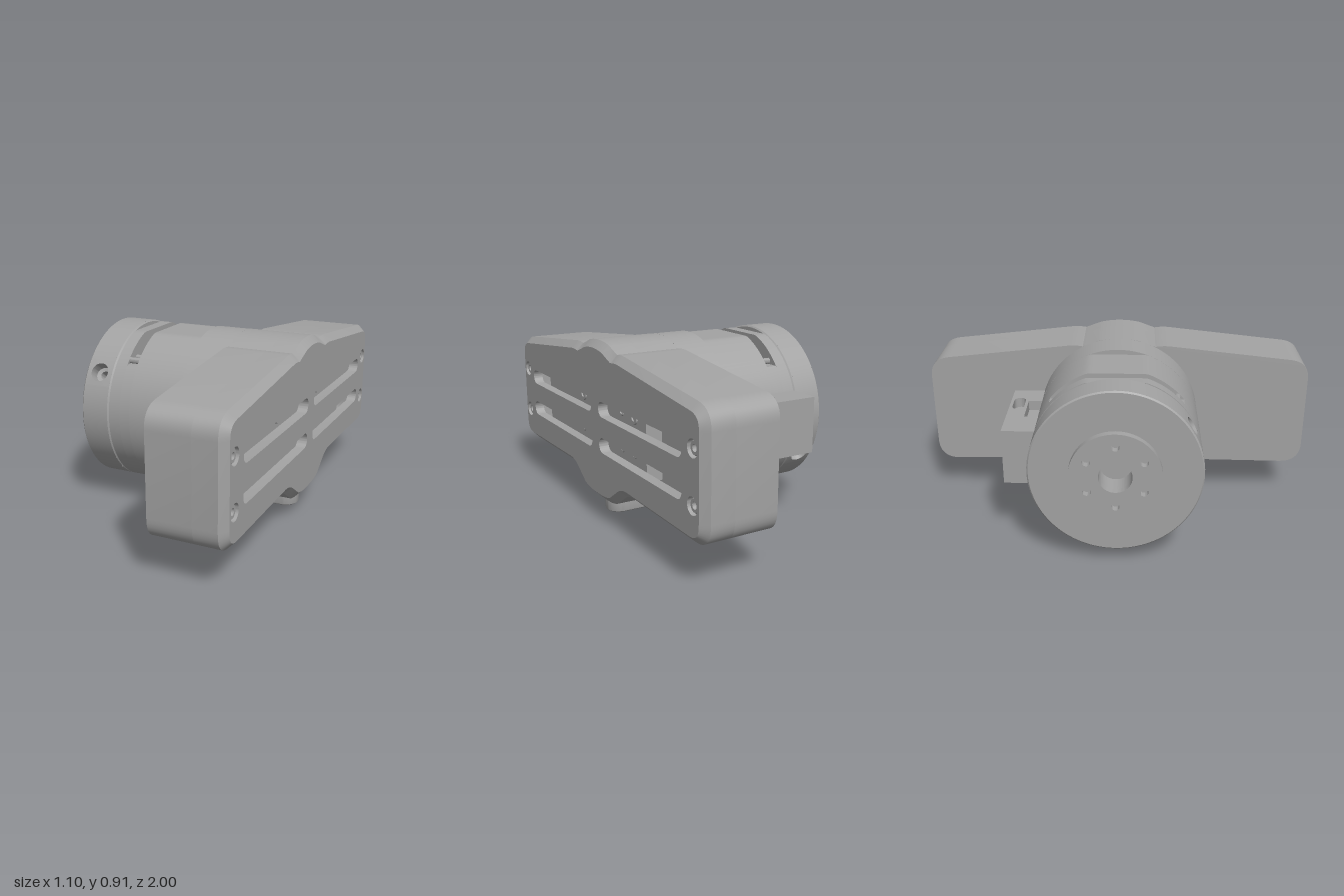
import * as THREE from 'three';
import { toCreasedNormals } from 'three/addons/utils/BufferGeometryUtils.js';

const AXIS = 0.49; // height of the drum axis
const R = 0.415;   // drum radius

// Working frame: u (x) points to the back, y up, w (z) along the drum axis.
export function createModel() {
  const metal = new THREE.MeshStandardMaterial({ color: 0xa3a3a3, side: THREE.DoubleSide });
  metal.name = 'grey metal';
  const model = new THREE.Group();
  model.name = 'gearHousing';
  model.rotation.y = Math.PI / 2;

  const add = (name, geo, x = 0, y = 0, z = 0) => {
    const mesh = new THREE.Mesh(toCreasedNormals(geo, 0.5), metal);
    mesh.name = name;
    mesh.position.set(x, y, z);
    model.add(mesh);
    return mesh;
  };
  const extrude = (shape, depth, opts = {}) =>
    new THREE.ExtrudeGeometry(shape, { depth, bevelEnabled: false, curveSegments: 16, ...opts });
  const box = (name, u0, u1, y0, y1, w0, w1) =>
    add(name, new THREE.BoxGeometry(u1 - u0, y1 - y0, w1 - w0), (u0 + u1) / 2, (y0 + y1) / 2, (w0 + w1) / 2);
  const circle = (x, y, r) => new THREE.Path().absarc(x, y, r, 0, Math.PI * 2);
  const stadium = (x0, x1, y, r, P = THREE.Path) =>
    new P().absarc(x1 - r, y, r, -Math.PI / 2, Math.PI / 2).absarc(x0 + r, y, r, Math.PI / 2, Math.PI * 1.5).closePath();
  const lathe = (pts, seg = 96) =>
    new THREE.LatheGeometry(pts.map(p => new THREE.Vector2(...p)), seg).rotateX(Math.PI / 2);

  // Skin between successive rows of points
  const loft = (rows) => {
    const n = rows[0].length, index = [];
    for (let i = 0; i < rows.length - 1; i++)
      for (let j = 0; j < n - 1; j++) {
        const a = i * n + j, b = a + n;
        index.push(a, a + 1, b, a + 1, b + 1, b);
      }
    const g = new THREE.BufferGeometry();
    g.setAttribute('position', new THREE.Float32BufferAttribute(rows.flat(2), 3));
    g.setIndex(index);
    g.computeVertexNormals();
    return g;
  };

  // Round slab, optionally cut flat at a given height
  const slab = (name, r, top, w0, w1) => {
    const pts = [];
    for (let i = 0; i < 120; i++) {
      const a = i * Math.PI / 60;
      pts.push(new THREE.Vector2(r * Math.cos(a), Math.min(AXIS + r * Math.sin(a), top)));
    }
    return add(name, extrude(new THREE.Shape(pts), w1 - w0), 0, 0, w0);
  };

  // Socket screw facing +w
  const screw = (name, u, y, w, r) => {
    const m = add(name, lathe([[r, -0.03], [r, -0.004], [r * 0.9, 0], [r * 0.5, 0], [r * 0.5, -0.025], [0, -0.025]], 24), u, y, w);
    return m;
  };

  // --- Drum: end disc with two radial screw holes
  add('discFront', lathe([[0, -0.42], [0.08, -0.42], [0.08, -0.515], [0.408, -0.515], [R, -0.508], [R, -0.505]]), 0, AXIS);
  add('discBack', lathe([[R, -0.37], [R, -0.367], [0.408, -0.36], [0, -0.36]]), 0, AXIS);
  const half = 0.0675, halfAngle = half / R, holes = [149, 329].map(THREE.MathUtils.degToRad);
  const onDrum = (a, r, w) => [r * Math.cos(a), r * Math.sin(a), w];
  for (const a of holes) {
    const arc = w => Array.from({ length: 61 }, (_, i) =>
      onDrum(a + halfAngle + (Math.PI - 2 * halfAngle) * i / 60, R, w));
    add('discBand', loft([arc(-0.505), arc(-0.37)]), 0, AXIS);
    const ring = (size, r, square) => Array.from({ length: 41 }, (_, i) => {
      const t = i * Math.PI / 20, c = Math.cos(t), s = Math.sin(t);
      const k = size / (square ? Math.max(Math.abs(c), Math.abs(s)) : 1);
      return onDrum(a + k * s / R, r, -0.4375 + k * c);
    });
    add('discScrewHole', loft([ring(half, R, true), ring(0.047, R), ring(0.047, 0.36),
      ring(0.026, 0.355), ring(0.026, 0.3), ring(0, 0.3)]), 0, AXIS);
  }

  // --- Output hub with centre bore and six bolt holes
  const hub = new THREE.Shape().absarc(0, 0, 0.22, 0, Math.PI * 2);
  hub.holes.push(circle(0, 0, 0.08));
  for (let i = 0; i < 6; i++) {
    const a = i * Math.PI / 3 + Math.PI / 6;
    hub.holes.push(circle(0.155 * Math.cos(a), 0.155 * Math.sin(a), 0.02));
  }
  add('hub', extrude(hub, 0.035, { curveSegments: 32 }), 0, AXIS, -0.55);

  // --- Drum body with flat top, notch and raised rib
  slab('neck', 0.385, 0.86, -0.362, -0.354);
  slab('ring', R, 0.88, -0.356, -0.295);
  slab('notchFloor', R, 0.75, -0.295, -0.24);
  slab('body', R, 0.88, -0.24, 0.19);
  slab('rib', R + 0.0005, 2, 0.02, 0.19);
  for (const u of [-0.29, -0.23, -0.15, 0.01, 0.26])
    add('notchPin', new THREE.CylinderGeometry(0.015, 0.015, 0.055, 16).rotateX(Math.PI / 2), u, 0.766, -0.2675);

  // --- Wide housing outline, mirrored about the middle
  const side = new THREE.Path().moveTo(0, 0.105);
  side.quadraticCurveTo(0.11, 0.103, 0.16, 0.125).lineTo(0.25, 0.185);
  side.quadraticCurveTo(0.285, 0.207, 0.33, 0.207).lineTo(0.89, 0.2);
  side.quadraticCurveTo(1, 0.2, 1, 0.31).lineTo(1, 0.69);
  side.quadraticCurveTo(1, 0.785, 0.9, 0.796).lineTo(0.26, 0.866);
  side.quadraticCurveTo(0.22, 0.868, 0.19, 0.862).lineTo(0.11, 0.892);
  side.quadraticCurveTo(0.06, 0.905, 0, 0.905);
  const right = side.getPoints(10);
  const outline = [...right, ...right.slice(1, -1).reverse().map(p => new THREE.Vector2(-p.x, p.y))];
  const inset = outline.map((p, i) => {
    const n = outline.length;
    const d1 = p.clone().sub(outline[(i + n - 1) % n]).normalize();
    const d2 = outline[(i + 1) % n].clone().sub(p).normalize();
    const d = d1.add(d2).normalize();
    return new THREE.Vector2(p.x - d.y * 0.035, p.y + d.x * 0.035);
  });
  const closed = (pts, w) => [...pts, pts[0]].map(p => [p.x, p.y, w]);

  add('housing', extrude(new THREE.Shape(outline), 0.21), 0, 0, 0.19);
  const rim = new THREE.Shape(outline);
  rim.holes.push(new THREE.Path(inset));
  add('housingRim', extrude(rim, 0.115), 0, 0, 0.4);
  add('housingChamfer', loft([closed(outline, 0.515), closed(inset, 0.55)]));

  // --- Slotted cover, inner plate and screws
  const cover = new THREE.Shape(inset);
  for (const y of [0.582, 0.402])
    cover.holes.push(stadium(0.04, 0.83, y, 0.038), stadium(-0.83, -0.04, y, 0.038));
  for (const u of [-0.915, 0.915])
    for (const y of [0.612, 0.372]) {
      cover.holes.push(circle(u, y, 0.04));
      screw('coverScrew', u, y, 0.54, 0.033);
    }
  add('cover', extrude(cover, 0.05), 0, 0, 0.5);
  box('innerPlate', -0.4, 0.4, 0.3, 0.7, 0.4, 0.48);
  for (const u of [-0.285, -0.16, 0.16, 0.285])
    for (const y of [0.582, 0.402])
      screw('plateScrew', u, y, 0.487, y > 0.5 && Math.abs(u) > 0.2 ? 0.035 : 0.02);

  // --- Connector box on the back, notched and slotted on top
  box('connectorBox', 0.3, 0.55, 0.35, 0.58, -0.36, 0.14);
  const lid = new THREE.Shape([[0.3, -0.14], [0.55, -0.14], [0.55, 0.36], [0.3, 0.36],
    [0.3, 0.19], [0.46, 0.19], [0.46, 0], [0.3, 0]].map(p => new THREE.Vector2(...p)));
  const slot = new THREE.Path().absarc(0.505, 0.07, 0.03, 0, Math.PI)
    .absarc(0.505, -0.01, 0.03, Math.PI, Math.PI * 2).closePath();
  lid.holes.push(slot);
  add('connectorLid', extrude(lid, 0.05).rotateX(-Math.PI / 2), 0, 0.58, 0);
  for (const w of [0.07, -0.1])
    screw('connectorScrew', 0.553, 0.39, w, 0.02).rotation.y = Math.PI / 2;

  // --- Split foot below the drum
  const foot = new THREE.Shape([[-0.28, 0], [-0.03, 0], [-0.03, 0.12], [-0.27, 0.12], [-0.27, 0.05]]
    .map(p => new THREE.Vector2(...p)));
  for (const s of [-1, 1]) {
    add('footBlock', extrude(foot, 0.1).rotateY(-Math.PI / 2), s * 0.1 + 0.05);
    box('footLip', s * 0.045 - 0.008, s * 0.045 + 0.008, 0, 0.022, -0.27, -0.03);
    screw('footScrew', s * 0.1, -0.0, -0.12, 0.02).rotation.x = Math.PI / 2;
  }
  box('footBridge', -0.15, 0.15, 0.055, 0.11, -0.29, -0.03);

  // --- Rounded bosses under the housing
  const boss = (name, w0, w1, r, y0, y1) =>
    add(name, extrude(stadium(w0, w1, 0, r, THREE.Shape), y1 - y0 - 0.02,
      { bevelEnabled: true, bevelSize: 0.012, bevelThickness: 0.012, bevelOffset: -0.012, bevelSegments: 3 })
      .rotateX(-Math.PI / 2).rotateY(-Math.PI / 2), 0, y0 + 0.012, 0);
  boss('largeBoss', 0.19, 0.5, 0.07, 0.035, 0.14);
  box('bossRoot', -0.07, 0.07, 0.035, 0.12, 0.19, 0.28);
  boss('smallBoss', 0.02, 0.28, 0.065, 0.027, 0.12);

  const root = new THREE.Group();
  root.name = 'model';
  root.add(model);
  return root;
}
